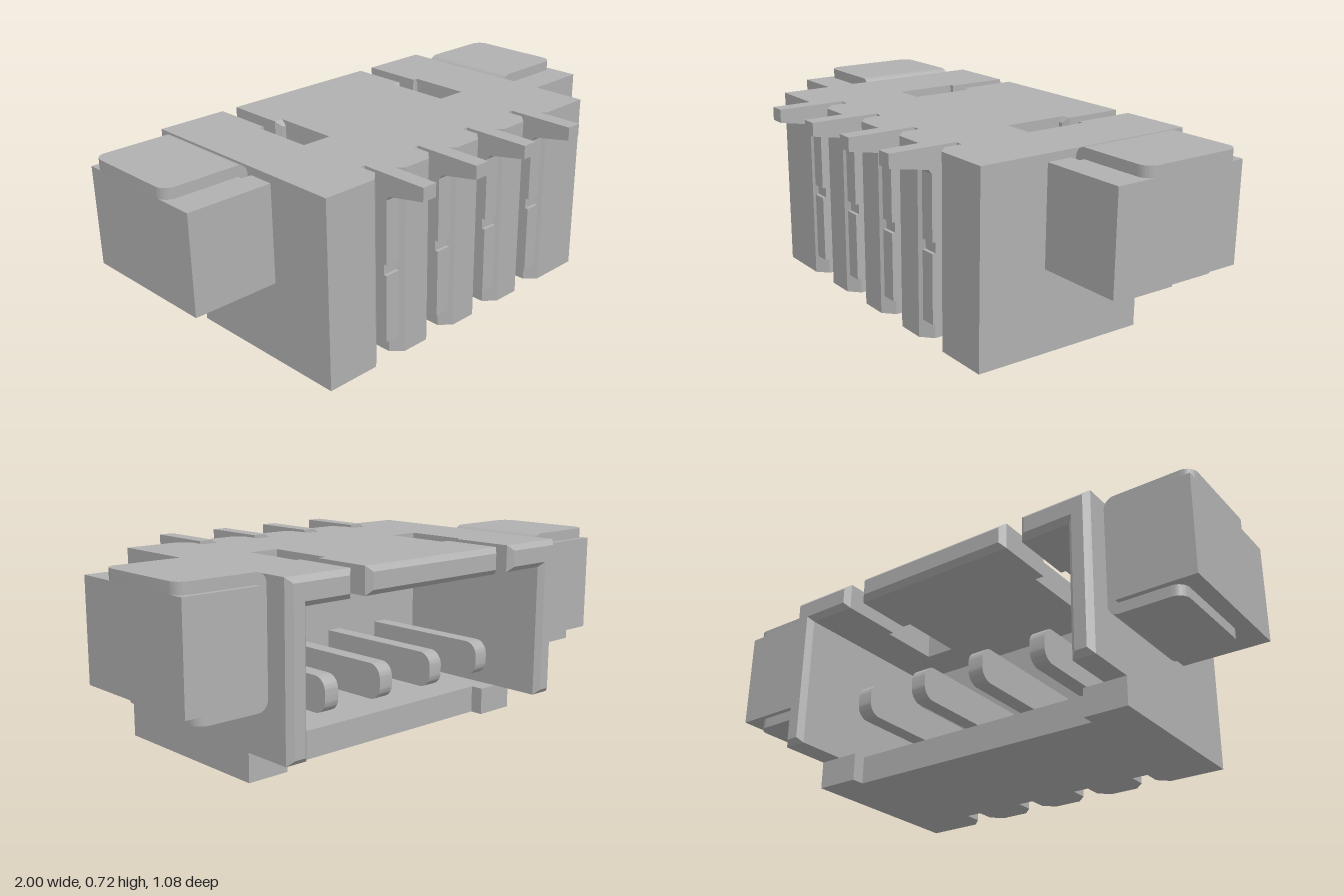
import * as THREE from 'three';
import { toCreasedNormals } from 'three/addons/utils/BufferGeometryUtils.js';

const grey = new THREE.MeshStandardMaterial({ color: 0xb0b0b0 });
grey.name = 'plain grey';

export function createModel() {
  const model = new THREE.Group();
  model.name = 'pinHeader';

  const add = (name, geometry, parent = model) => {
    const mesh = new THREE.Mesh(toCreasedNormals(geometry, 0.5), grey);
    mesh.name = name;
    parent.add(mesh);
    return mesh;
  };
  const box = (name, x0, x1, y0, y1, z0, z1, parent) =>
    add(name, new THREE.BoxGeometry(x1 - x0, y1 - y0, z1 - z0)
      .translate((x0 + x1) / 2, (y0 + y1) / 2, (z0 + z1) / 2), parent);
  const polygon = (pts) => new THREE.Shape(pts.map(([a, b]) => new THREE.Vector2(a, b)));
  const extrude = (shape, depth) =>
    new THREE.ExtrudeGeometry(shape, { depth, bevelEnabled: false, curveSegments: 6 });
  // Outline in (x, z), raised from y0 to y1
  const plan = (name, pts, y0, y1, parent) =>
    add(name, extrude(polygon(pts.map(([x, z]) => [x, -z])), y1 - y0)
      .rotateX(-Math.PI / 2).translate(0, y0, 0), parent);
  // Outline in (x, y), running back to a chamfered end; its other end is buried
  const lip = (name, pts, z0, z1) => {
    const c = 0.02;
    add(name, new THREE.ExtrudeGeometry(polygon(pts), {
      depth: z1 - z0 - 2 * c, bevelSize: c, bevelThickness: c, bevelOffset: -c, bevelSegments: 1,
    }).translate(0, 0, z0 + c));
  };

  const pinX = [-0.385, -0.128, 0.128, 0.385];
  const W = 0.67, H = 0.71, FRONT = 0.365;

  // Front wall with a flared groove for every pin
  const wall = [[-W, 0.13], [-W, FRONT]];
  for (const x of pinX) {
    wall.push([x - 0.073, FRONT], [x - 0.031, 0.325], [x - 0.031, 0.257],
      [x + 0.031, 0.257], [x + 0.031, 0.325], [x + 0.073, FRONT]);
  }
  wall.push([W, FRONT], [W, 0.13]);
  plan('frontWall', wall, 0, H);

  // Top plate with two stepped slots open towards the back
  const slot = [[0.33, -0.31], [0.33, -0.29], [0.295, -0.29], [0.295, -0.03],
    [0.415, -0.03], [0.415, -0.275], [0.395, -0.275], [0.395, -0.31]];
  plan('topPlate', [
    ...slot.map(([x, z]) => [-x, z]).reverse(), ...slot,
    [W, -0.31], [W, 0.14], [-W, 0.14], [-W, -0.31],
  ], 0.61, H);
  lip('topLip', [[-0.33, 0.61], [0.33, 0.61], [0.33, H], [-0.33, H]], -0.54, -0.27);

  // Floor, recessed between two corner blocks
  plan('floor', [[-W, -0.33], [-0.505, -0.33], [-0.505, -0.28], [0.505, -0.28],
    [0.505, -0.33], [W, -0.33], [W, 0.14], [-W, 0.14]], 0, 0.105);

  // Side walls and their hooked back ends
  for (const s of [-1, 1]) {
    const a = s * 0.585, b = s * W;
    box('sideWall', Math.min(a, b), Math.max(a, b), 0, H, -0.31, 0.14);
    lip('sideLip', [[b, 0.105], [b, H], [s * 0.395, H], [s * 0.395, 0.61], [a, 0.61], [a, 0.105]],
      -0.54, -0.27);
  }

  // Pins: solder foot, vertical leg and round-ended contact blade
  const pin = new THREE.Shape();
  pin.moveTo(0.54, 0.72);
  for (const [z, y] of [[0.275, 0.72], [0.275, 0.33], [-0.37, 0.33]]) pin.lineTo(z, y);
  pin.absarc(-0.37, 0.28, 0.05, Math.PI / 2, Math.PI, false);
  pin.absarc(-0.37, 0.25, 0.05, Math.PI, Math.PI * 1.5, false);
  for (const [z, y] of [[0.275, 0.2], [0.275, 0.085], [0.375, 0.085], [0.375, 0.345],
    [0.362, 0.345], [0.362, 0.385], [0.375, 0.385], [0.375, 0.625], [0.388, 0.642],
    [0.54, 0.67]]) pin.lineTo(z, y);
  for (const x of pinX) {
    add('pin', extrude(pin, 0.06).rotateY(-Math.PI / 2).translate(x + 0.03, 0, 0));
  }

  // Side ears: a block held by a bent clip
  const clip = new THREE.Shape();
  clip.moveTo(0.75, 0.72);
  clip.lineTo(0.71, 0.72);
  clip.absarc(0.71, 0.68, 0.04, Math.PI / 2, Math.PI, false);
  clip.lineTo(0.67, 0.31);
  clip.absarc(0.71, 0.31, 0.04, Math.PI, Math.PI * 1.5, false);
  clip.lineTo(0.75, 0.27);
  clip.lineTo(0.75, 0.31);
  clip.lineTo(0.71, 0.31);
  clip.lineTo(0.71, 0.68);
  clip.lineTo(0.75, 0.68);

  // Flange with rounded outer corners
  const flange = (x1, y0, parent) => {
    const r = 0.045, z0 = -0.435, z1 = -0.025, s = new THREE.Shape();
    s.moveTo(0.74, -z1);
    s.lineTo(x1 - r, -z1);
    s.absarc(x1 - r, -z1 + r, r, -Math.PI / 2, 0, false);
    s.absarc(x1 - r, -z0 - r, r, 0, Math.PI / 2, false);
    s.lineTo(0.74, -z0);
    add('clipFlange', extrude(s, 0.04).rotateX(-Math.PI / 2).translate(0, y0, 0), parent);
  };

  for (const s of [1, -1]) {
    const ear = new THREE.Group();
    ear.name = s > 0 ? 'leftEar' : 'rightEar';
    plan('earBlock', [[0.71, -0.455], [1, -0.455], [1, 0.095], [0.66, 0.095],
      [0.66, -0.005], [0.71, -0.005]], 0.31, 0.68, ear);
    add('clipBend', extrude(clip, 0.41).translate(0, 0, -0.435), ear);
    flange(1, 0.68, ear);
    flange(0.94, 0.27, ear);
    ear.scale.x = s;
    model.add(ear);
  }
  return model;
}
